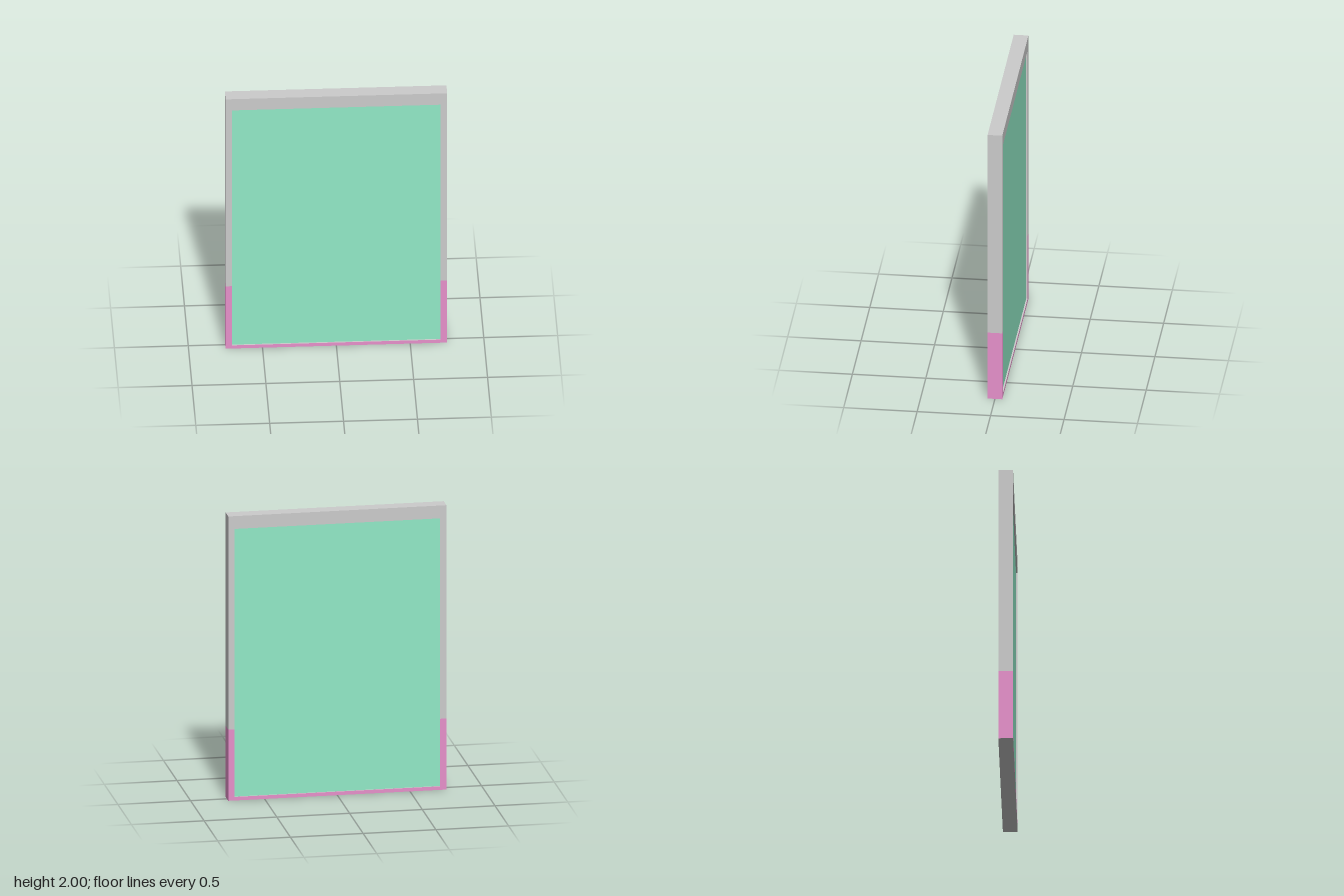
import * as THREE from 'three';

const W = 0.75, H = 2, D = 0.1;                    // half width, height, depth
const INNER = 0.706, SILL = 0.025, HEAD = 1.91;    // opening in the frame
const BAND = 0.5;                                  // top of the painted band

export function createModel() {
  const model = new THREE.Group();
  model.name = 'framedPanel';

  const grey = new THREE.MeshStandardMaterial({ color: 0xcccccc });
  const pink = new THREE.MeshStandardMaterial({ color: 0xe791cb });
  const green = new THREE.MeshStandardMaterial({ color: 0x92e9c7 });

  // box given by its x and y limits, centred on z = 0
  function block(name, x0, x1, y0, y1, depth, material, parent = model) {
    const mesh = new THREE.Mesh(new THREE.BoxGeometry(x1 - x0, y1 - y0, depth), material);
    mesh.position.set((x0 + x1) / 2, (y0 + y1) / 2, 0);
    mesh.name = name;
    parent.add(mesh);
  }

  const frame = new THREE.Group();
  frame.name = 'frame';
  model.add(frame);

  // head and sill; the sill is painted on front and back only
  block('topRail', -INNER, INNER, HEAD, H, D, grey, frame);
  block('bottomRail', -INNER, INNER, 0, SILL, D, [grey, grey, grey, grey, pink, pink], frame);

  // side stiles, painted on their outer faces below the band
  for (const [side, x0, x1] of [['left', INNER, W], ['right', -W, -INNER]]) {
    const outer = side === 'left' ? [pink, grey] : [grey, pink];
    block(side + 'Stile', x0, x1, BAND, H, D, grey, frame);
    block(side + 'StileBase', x0, x1, 0, BAND, D, [...outer, grey, grey, pink, pink], frame);
  }

  // panel, slightly recessed on both faces
  block('panel', -INNER, INNER, SILL, HEAD, 0.08, green);

  return model;
}
